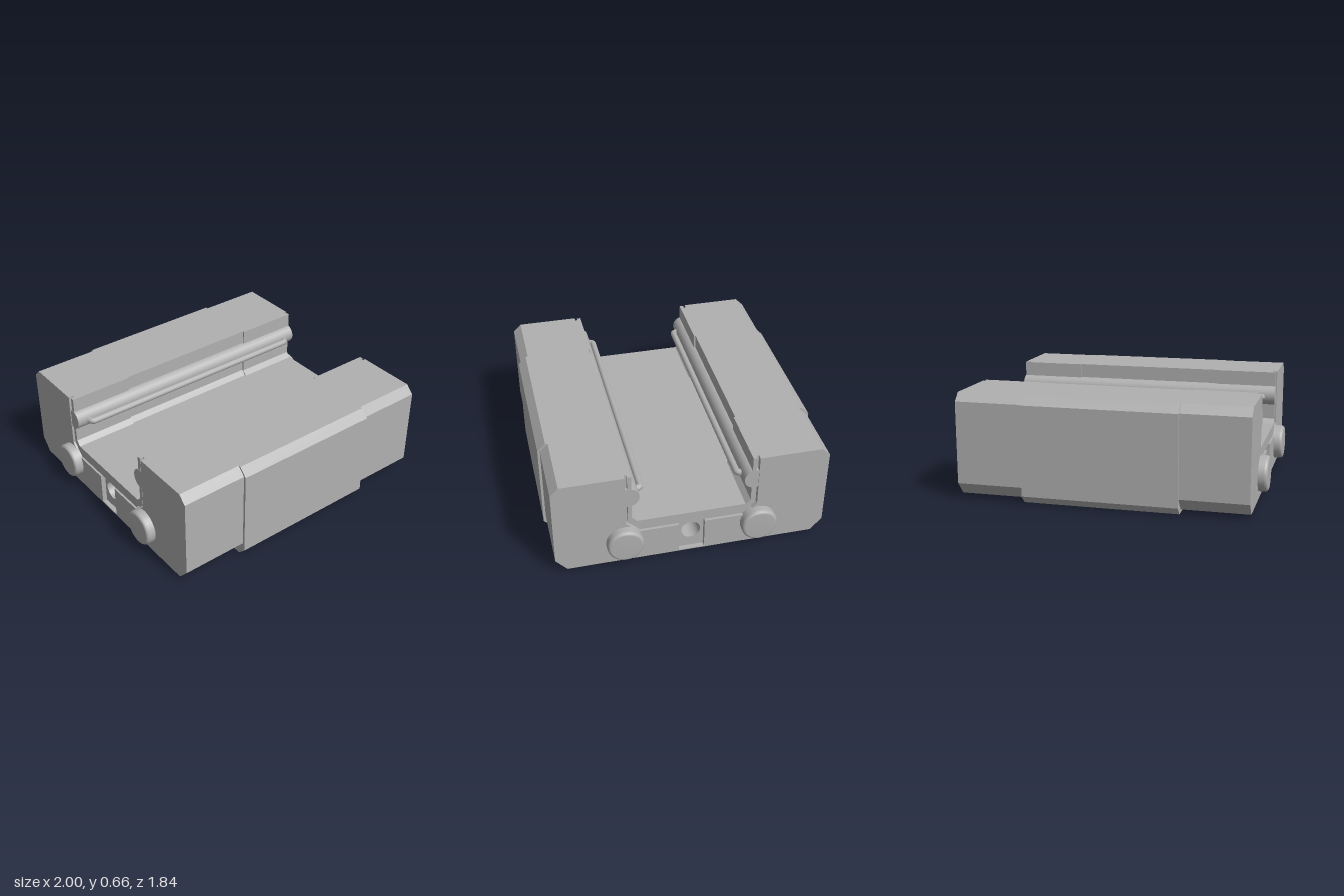
import * as THREE from 'three';

const grey = new THREE.MeshStandardMaterial({ color: 0xb0b0b0 });
grey.name = 'machined grey';

// Mirrors half of a cross-section [z, y] into a closed shape
function mirrored(half) {
  const left = half.map(([z, y]) => [-z, y]).reverse();
  return new THREE.Shape([...half, ...left].map(([z, y]) => new THREE.Vector2(z, y)));
}

function circleHole(shape, x, y, r) {
  shape.holes.push(new THREE.Path().absarc(x, y, r, 0, Math.PI * 2, true));
}

// Extrudes a z-y cross-section along the x axis
function alongX(shape, x0, x1) {
  const g = new THREE.ExtrudeGeometry(shape, { depth: x1 - x0, bevelEnabled: false, curveSegments: 20 });
  return g.rotateY(Math.PI / 2).translate(x0, 0, 0);
}

// Extrudes an x-z outline upward
function alongY(shape, y0, y1) {
  const g = new THREE.ExtrudeGeometry(shape, { depth: y1 - y0, bevelEnabled: false, curveSegments: 20 });
  return g.rotateX(-Math.PI / 2).translate(0, y0, 0);
}

// Rectangular plate outline with the two mounting holes
function basePlate(hw, r) {
  const s = new THREE.Shape([[-0.482, -hw], [0.482, -hw], [0.482, hw], [-0.482, hw]].map(p => new THREE.Vector2(...p)));
  for (const side of [1, -1]) circleHole(s, 0, side * 0.56, r);
  return s;
}

export function createModel() {
  const model = new THREE.Group();
  const carriage = new THREE.Group();
  carriage.name = 'carriage';
  carriage.rotation.y = 0.0935;
  model.add(carriage);

  const add = (name, geometry, parent = carriage) => {
    const m = new THREE.Mesh(geometry, grey);
    m.name = name;
    parent.add(m);
    return m;
  };

  // Main block, above a base with countersunk mounting holes
  add('mainBlock', alongX(mirrored([
    [0.855, 0.16], [0.855, 0.612], [0.805, 0.662], [0.375, 0.662], [0.375, 0.345], [0.345, 0.315],
  ]), -0.482, 0.482));
  add('upperBase', alongY(basePlate(0.855, 0.11), 0.05, 0.16));
  const lower = alongY(basePlate(0.855, 0.14), 0, 0.05);
  const p = lower.attributes.position;
  for (let i = 0; i < p.count; i++) {
    if (p.getY(i) < 0.01 && Math.abs(p.getZ(i)) > 0.84) p.setZ(i, Math.sign(p.getZ(i)) * 0.805);
  }
  lower.computeVertexNormals();
  add('lowerBase', lower);

  // Shared outside of the end caps
  const outside = [[0.77, 0.02], [0.84, 0.1], [0.84, 0.612], [0.79, 0.662]];

  for (const side of [1, -1]) {
    const end = new THREE.Group();
    end.name = side > 0 ? 'leftEnd' : 'rightEnd';
    if (side < 0) end.rotation.y = Math.PI;
    carriage.add(end);

    // End cap with lubrication port
    const cap = mirrored([...outside, [0.365, 0.662], [0.365, 0.345], [0.335, 0.315]]);
    circleHole(cap, 0, 0.155, 0.06);
    add('endCap', alongX(cap, 0.48, 0.87), end);

    // Outer plate with a slot around the port
    add('endPlate', alongX(mirrored([
      ...outside, [0.405, 0.662], [0.405, 0.31], [0.33, 0.235], [0.08, 0.235], [0.08, 0.028],
    ]), 0.87, 0.9), end);

    // Seal lining the channel
    add('channelSeal', alongX(mirrored([
      [0.318, 0.245], [0.39, 0.317], [0.39, 0.662], [0.365, 0.662], [0.365, 0.345], [0.335, 0.315],
    ]), 0.869, 0.893), end);

    // Round-edged retaining buttons
    for (const z of [0.415, -0.415]) {
      const button = new THREE.LatheGeometry([
        [0.112, -0.03], [0.112, 0.035], [0.11, 0.046], [0.104, 0.054], [0.094, 0.058], [0, 0.058],
      ].map(q => new THREE.Vector2(...q)), 32);
      add('button', button.rotateZ(-Math.PI / 2).translate(0.9, 0.175, z), end);
    }
  }

  // Ball track ridge and retaining wire on each channel wall
  for (const side of [1, -1]) {
    const ridge = new THREE.CylinderGeometry(0.066, 0.066, 1.79, 24);
    add('trackRidge', ridge.rotateZ(Math.PI / 2).translate(0, 0.505, side * 0.384));

    const path = new THREE.CatmullRomCurve3([
      [-0.812, 0.36], [-0.812, 0.32], [-0.802, 0.302], [-0.78, 0.296],
      [0.78, 0.296], [0.802, 0.302], [0.812, 0.32], [0.812, 0.36],
    ].map(([x, z]) => new THREE.Vector3(x, 0.5, side * z)), false, 'catmullrom', 0.05);
    add('retainingWire', new THREE.TubeGeometry(path, 160, 0.021, 12));
  }

  return model;
}
